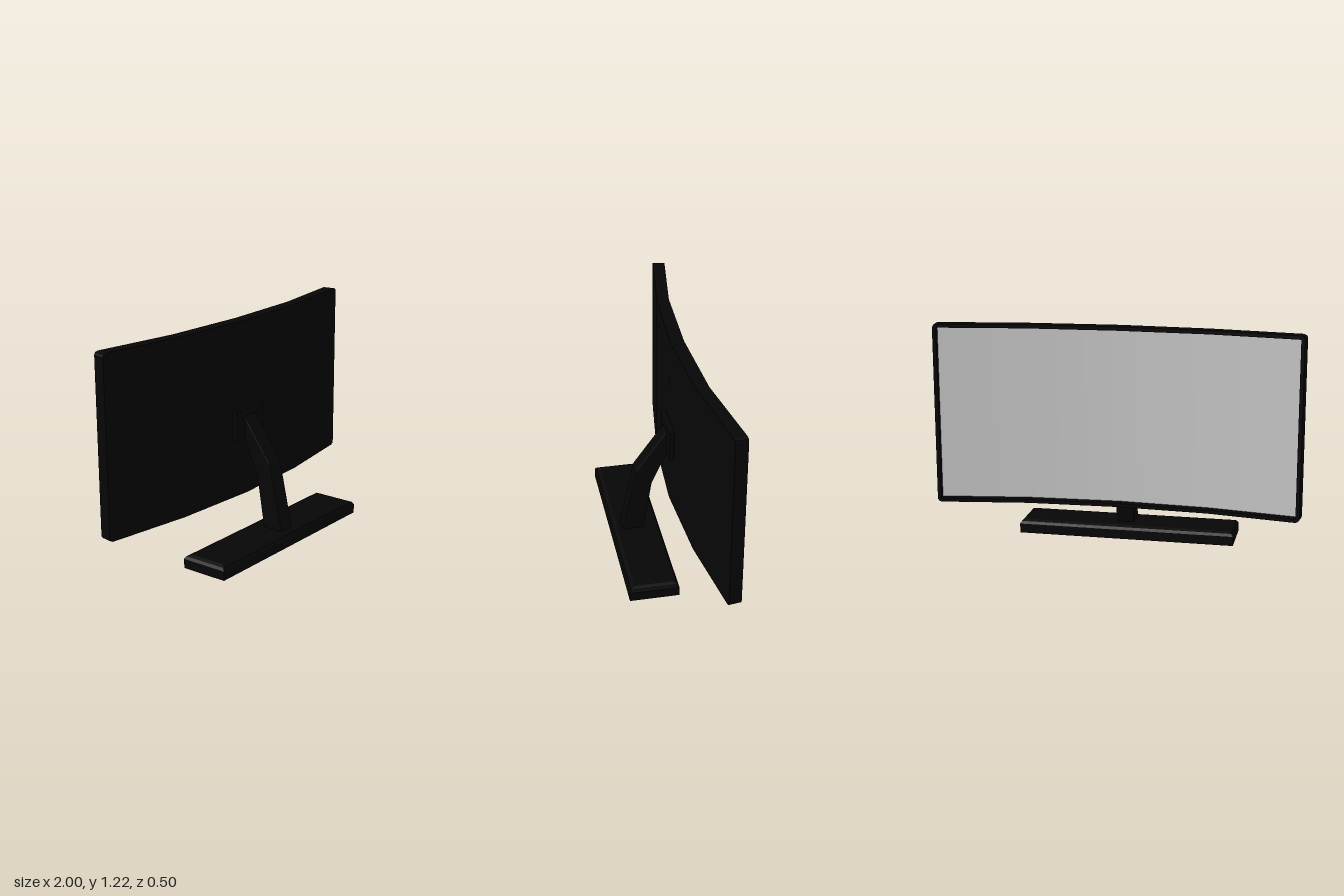
import * as THREE from 'three';

const black = new THREE.MeshStandardMaterial({ color: 0x060606, flatShading: true });
const grey = new THREE.MeshStandardMaterial({ color: 0xcccccc });

// Closed solid through matching convex loops, counter-clockwise seen from the last loop
function loft(loops) {
  const n = loops[0].length, index = [];
  for (let k = 0; k < loops.length - 1; k++) {
    for (let i = 0; i < n; i++) {
      const a = k * n + i, b = k * n + (i + 1) % n;
      index.push(a, b, b + n, a, b + n, a + n);
    }
  }
  const last = (loops.length - 1) * n;
  for (let i = 1; i < n - 1; i++) {
    index.push(0, i + 1, i, last, last + i, last + i + 1);
  }
  const g = new THREE.BufferGeometry();
  g.setAttribute('position', new THREE.Float32BufferAttribute(loops.flat(2), 3));
  g.setIndex(index);
  const flat = g.toNonIndexed();
  flat.computeVertexNormals();
  return flat;
}

const BOTTOM = 0.228, TOP = 1.217, BEZEL = 0.02;
const FLOOR = 0.36; // recessed screen, as a fraction of the panel's thickness

// Point in the faceted, curved panel; t runs from the outer shell (0) to the bezel face (1)
function bend(x, y, t) {
  const a = Math.abs(x);
  const shell = a < 0.5 ? -0.08 - 0.056 * a : -0.108 - 0.148 * (a - 0.5);
  const thick = 0.068 + 0.007 * Math.max(0, 1 - 2 * a);
  return [x * (1 - 0.01 * t), y, shell - t * thick];
}

// Part of the panel through [x, bottom, top] stations, between two depths
function slab(stations, t0, t1) {
  return loft(stations.map(([x, lo, hi]) =>
    [bend(x, lo, t0), bend(x, lo, t1), bend(x, hi, t1), bend(x, hi, t0)]));
}

export function createModel() {
  const model = new THREE.Group();
  const add = (name, geometry, material = black) => {
    const mesh = new THREE.Mesh(geometry, material);
    mesh.name = name;
    model.add(mesh);
  };

  // Curved back shell with rounded corners
  const edge = 1 - BEZEL;
  const rightEnd = [[edge, 0], [0.994, 0.006], [1, 0.018]].map(([x, c]) => [x, BOTTOM + c, TOP - c]);
  const mirror = (list) => list.map(([x, lo, hi]) => [-x, lo, hi]).reverse();
  const leftEnd = mirror(rightEnd);
  const bends = [-0.5, 0, 0.5];
  add('backShell', slab([...leftEnd, ...bends.map((x) => [x, BOTTOM, TOP]), ...rightEnd], 0, FLOOR));

  // Raised bezel around the recess
  const span = [-edge, ...bends, edge];
  add('bezelTop', slab(span.map((x) => [x, TOP - BEZEL, TOP]), FLOOR, 1));
  add('bezelBottom', slab(span.map((x) => [x, BOTTOM, BOTTOM + BEZEL]), FLOOR, 1));
  add('bezelLeft', slab(rightEnd, FLOOR, 1));
  add('bezelRight', slab(leftEnd, FLOOR, 1));

  // Screen at the bottom of the recess, smoothly shaded across its bends
  const screen = new THREE.PlaneGeometry(2, TOP - BOTTOM - 2 * BEZEL, 4, 1);
  screen.rotateY(Math.PI);
  const p = screen.attributes.position;
  for (let i = 0; i < p.count; i++) {
    const x = THREE.MathUtils.clamp(p.getX(i), -edge, edge);
    p.setXYZ(i, ...bend(x, p.getY(i) + (TOP + BOTTOM) / 2, FLOOR + 0.02));
    const slope = (bend(x + 0.1, 0, FLOOR)[2] - bend(x - 0.1, 0, FLOOR)[2]) / 0.2;
    const normal = new THREE.Vector3(slope, 0, -1).normalize();
    screen.attributes.normal.setXYZ(i, normal.x, normal.y, normal.z);
  }
  add('screen', screen, grey);

  // Mounting plate with a softened outer edge
  add('mountPlate', loft([[-0.082, 0], [-0.064, 0], [-0.058, 0.003], [-0.055, 0.01]].map(([z, c]) => {
    const x = 0.12 - c, lo = 0.556 + c, hi = 0.731 - c;
    return [[-x, lo, z], [x, lo, z], [x, hi, z], [-x, hi, z]];
  })));

  // Bent arm, side profile in z and y
  const profile = [[0.2, 0.06], [0.114, 0.455], [-0.062, 0.7], [-0.07, 0.7],
    [-0.07, 0.565], [-0.062, 0.565], [0.028, 0.365], [0.076, 0.06]];
  const arm = new THREE.ExtrudeGeometry(
    new THREE.Shape(profile.map(([z, y]) => new THREE.Vector2(z, y))),
    { depth: 0.084, bevelEnabled: true, bevelSize: 0.008, bevelThickness: 0.008, bevelOffset: -0.008, bevelSegments: 2 });
  arm.translate(0, 0, -0.042);
  arm.rotateY(-Math.PI / 2);
  add('arm', arm);

  // Long base with a bevelled top
  add('base', loft([[0, 0], [0.052, 0], [0.066, 0.009], [0.074, 0.03]].map(([y, c]) => {
    const l = -0.62 + c, r = 0.59 - c, back = -0.017 + c, front = 0.252 - c;
    return [[r, y, front], [r, y, back], [l, y, back], [l, y, front]];
  })));

  return model;
}
